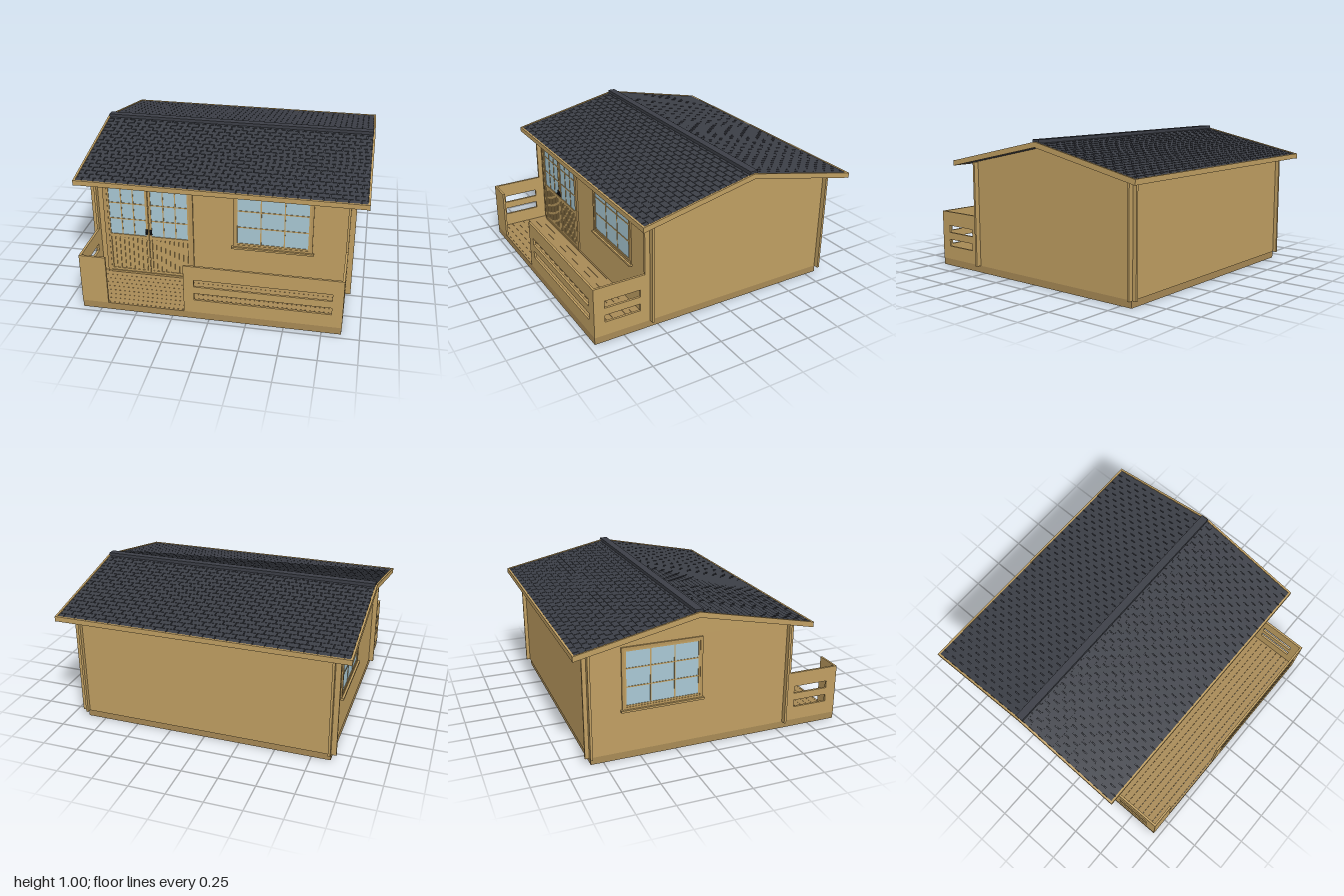
import * as THREE from 'three';
import { mergeGeometries } from 'three/addons/utils/BufferGeometryUtils.js';

const mat = (color) => new THREE.MeshStandardMaterial({ color });
const wood = mat(0xc09f62), baseWood = mat(0xa88a56), trimWood = mat(0xb8975c);
const shingle = mat(0x3c3f47), glass = mat(0xa9c8d4), black = mat(0x1c1c1e);
const RIDGE_Z = -0.143, HALF = 0.812, SLOPE = 0.212;

// Box geometry given by its extents
function slab(x0, x1, y0, y1, z0, z1) {
  return new THREE.BoxGeometry(x1 - x0, y1 - y0, z1 - z0)
    .translate((x0 + x1) / 2, (y0 + y1) / 2, (z0 + z1) / 2);
}
function add(parent, name, material, ...geometries) {
  const mesh = new THREE.Mesh(geometries.length > 1 ? mergeGeometries(geometries) : geometries[0], material);
  mesh.name = name;
  parent.add(mesh);
  return mesh;
}
function group(parent, name) {
  const g = new THREE.Group();
  g.name = name;
  parent.add(g);
  return g;
}
function rectPath(Type, x0, x1, y0, y1) {
  return new Type([[x0, y0], [x1, y0], [x1, y1], [x0, y1]].map(([x, y]) => new THREE.Vector2(x, y)));
}
// Extrude a [z, y] outline along x, with optional rectangular holes
function extrudeX(points, x0, x1, holes = []) {
  const shape = new THREE.Shape(points.map(([z, y]) => new THREE.Vector2(-z, y)));
  holes.forEach(([z0, z1, y0, y1]) => shape.holes.push(rectPath(THREE.Path, -z1, -z0, y0, y1)));
  return new THREE.ExtrudeGeometry(shape, { depth: x1 - x0, bevelEnabled: false })
    .rotateY(Math.PI / 2).translate(x0, 0, 0);
}
// Rectangular ring facing +z
function ring(x0, x1, y0, y1, w, z0, z1) {
  const shape = rectPath(THREE.Shape, x0, x1, y0, y1);
  shape.holes.push(rectPath(THREE.Path, x0 + w, x1 - w, y0 + w, y1 - w));
  return new THREE.ExtrudeGeometry(shape, { depth: z1 - z0, bevelEnabled: false }).translate(0, 0, z0);
}
// Bars that split a pane into three by three
function muntins(x0, x1, y0, y1, z0, z1) {
  const bars = [], h = 0.004;
  for (const t of [1 / 3, 2 / 3]) {
    const x = x0 + (x1 - x0) * t, y = y0 + (y1 - y0) * t;
    bars.push(slab(x - h, x + h, y0, y1, z0, z1), slab(x0, x1, y - h, y + h, z0, z1));
  }
  return bars;
}

// Window facing +z, centred on x, wall surface at z = 0
function makeWindow(parent, name) {
  const g = group(parent, name);
  add(g, 'windowTrim', trimWood, ring(-0.275, 0.275, 0.35, 0.775, 0.018, -0.002, 0.01));
  add(g, 'windowSash', wood, ring(-0.257, 0.257, 0.368, 0.757, 0.012, -0.002, 0.007));
  add(g, 'windowBars', wood, ...muntins(-0.245, 0.245, 0.38, 0.755, 0, 0.006));
  add(g, 'windowGlass', glass, slab(-0.246, 0.246, 0.379, 0.746, -0.002, 0.003));
  add(g, 'windowSill', wood, slab(-0.285, 0.285, 0.338, 0.352, -0.002, 0.024));
  return g;
}

// Double door with glazed tops and slatted lower panels
function makeDoor(parent) {
  const g = group(parent, 'doubleDoor');
  add(g, 'doorTrim', trimWood, slab(-0.83, -0.802, 0.055, 0.772, 0, 0.012),
    slab(-0.218, -0.19, 0.055, 0.772, 0, 0.012), slab(-0.802, -0.218, 0.755, 0.772, 0, 0.012),
    slab(-0.802, -0.218, 0.05, 0.064, 0, 0.016));
  for (const [name, x0, x1, gx0] of [['rightDoor', -0.802, -0.512, -0.79], ['leftDoor', -0.508, -0.218, -0.49]]) {
    const leaf = group(g, name), gx1 = gx0 + 0.26;
    add(leaf, 'doorFrame', wood, slab(x0, gx0, 0.064, 0.755, 0, 0.009), slab(gx1, x1, 0.064, 0.755, 0, 0.009),
      slab(gx0, gx1, 0.735, 0.755, 0, 0.009), slab(gx0, gx1, 0.34, 0.365, 0, 0.009),
      slab(gx0, gx1, 0.064, 0.082, 0, 0.009));
    add(leaf, 'doorGlass', glass, slab(gx0, gx1, 0.365, 0.735, 0, 0.003));
    add(leaf, 'doorBars', wood, ...muntins(gx0, gx1, 0.365, 0.735, 0, 0.006));
    const slats = [];
    for (let i = 0; i < 8; i++) {
      const x = gx0 + 0.26 * (i + 0.5) / 8;
      slats.push(slab(x - 0.0125, x + 0.0125, 0.082, 0.34, 0, 0.006));
    }
    add(leaf, 'doorSlats', wood, ...slats);
  }
  for (const x of [-0.525, -0.495]) {
    add(g, 'doorHandle', black, slab(x - 0.008, x + 0.008, 0.38, 0.42, 0.009, 0.016),
      slab(x - 0.004, x + 0.004, 0.394, 0.404, 0.016, 0.026));
  }
  g.position.z = 0.56;
}

// Rim, joists and deck boards
function makeBase(parent) {
  const g = group(parent, 'base');
  add(g, 'baseRim', baseWood, slab(-0.88, 0.88, 0, 0.05, 0.945, 0.96), slab(-0.88, 0.88, 0, 0.05, -0.835, -0.82),
    slab(-0.88, -0.865, 0, 0.05, -0.82, 0.945), slab(0.865, 0.88, 0, 0.05, -0.82, 0.945),
    slab(-0.865, 0.865, 0, 0.036, 0.535, 0.575));
  const joists = [];
  for (let i = 1; i < 7; i++) {
    const z = -0.82 + 1.355 * i / 7;
    joists.push(slab(-0.865, 0.865, 0.002, 0.036, z - 0.018, z + 0.018));
  }
  for (let i = -2; i <= 2; i++) joists.push(slab(i * 0.293 - 0.016, i * 0.293 + 0.016, 0.002, 0.036, 0.575, 0.945));
  add(g, 'joists', wood, ...joists);
  const boards = [], n = 38, pitch = 1.765 / n;
  for (let i = 0; i < n; i++) {
    const z = -0.82 + i * pitch;
    boards.push(slab(-0.865, 0.865, 0.036, 0.05, z, z + pitch - 0.0015));
  }
  add(g, 'floorBoards', baseWood, ...boards);
}

// Low porch walls with two long slots each
function makePorch(parent) {
  const g = group(parent, 'porchRailing');
  const slots = (a, b) => [[a, b, 0.147, 0.198], [a, b, 0.25, 0.302]];
  for (const s of [-1, 1]) {
    const x0 = s > 0 ? 0.866 : -0.882;
    add(g, 'sideRailing', wood, extrudeX([[0.56, 0.05], [0.96, 0.05], [0.96, 0.405], [0.56, 0.405]],
      x0, x0 + 0.016, slots(0.63, 0.885)));
  }
  const shape = rectPath(THREE.Shape, -0.17, 0.866, 0.05, 0.405);
  slots(-0.1, 0.81).forEach((h) => shape.holes.push(rectPath(THREE.Path, ...h)));
  add(g, 'frontRailing', wood,
    new THREE.ExtrudeGeometry(shape, { depth: 0.015, bevelEnabled: false }).translate(0, 0, 0.945));
  add(g, 'shortFrontRailing', wood, slab(-0.866, -0.7, 0.05, 0.405, 0.945, 0.96));
}

// Gabled roof: decking, staggered shingles, barge boards, fascias and ridge cap
function makeRoof(parent) {
  const g = group(parent, 'roof');
  const band = (top, bottom, half) => [[-half, top - SLOPE * half], [0, top], [half, top - SLOPE * half],
    [half, bottom - SLOPE * half], [0, bottom], [-half, bottom - SLOPE * half]].map(([z, y]) => [z + RIDGE_Z, y]);
  add(g, 'roofDeck', shingle, extrudeX(band(0.966, 0.948, HALF - 0.014), -0.986, 0.986));
  for (const x of [-1, 0.986]) add(g, 'bargeBoard', wood, extrudeX(band(0.981, 0.945, HALF), x, x + 0.014));
  const angle = Math.atan(SLOPE), rows = 20, tabs = 24;
  const length = (HALF - 0.014) / Math.cos(angle), step = length / rows, width = 1.972 / tabs;
  for (const s of [-1, 1]) {
    const pieces = [];
    for (let r = 0; r < rows; r++) {
      const shift = (r % 2) * width / 2;
      for (let t = 0; t <= tabs; t++) {
        const x0 = Math.max(-0.986, -0.986 + t * width - shift + 0.003);
        const x1 = Math.min(0.986, -0.986 + (t + 1) * width - shift - 0.003);
        if (x1 - x0 < 0.005) continue;
        // each tab tilts a little so its lower edge stands proud
        pieces.push(new THREE.BoxGeometry(x1 - x0, 0.006, step * 1.08).rotateX(-0.06)
          .translate((x0 + x1) / 2, 0.005, (r + 0.5) * step));
      }
    }
    const mesh = add(g, s > 0 ? 'frontShingles' : 'backShingles', shingle, mergeGeometries(pieces).rotateX(angle));
    mesh.position.set(0, 0.968, RIDGE_Z);
    if (s < 0) mesh.rotation.y = Math.PI;
    const edge = RIDGE_Z + s * HALF;
    add(g, 'eaveFascia', wood, slab(-1, 1, 0.775, 0.81, Math.min(edge, edge - s * 0.014), Math.max(edge, edge - s * 0.014)));
  }
  add(g, 'ridgeCap', shingle, slab(-0.988, 0.988, 0.972, 0.995, RIDGE_Z - 0.027, RIDGE_Z + 0.027));
}

export function createModel() {
  const model = new THREE.Group();
  model.name = 'gardenCabin';
  makeBase(model);

  // Walls cross and project past each other at the corners
  const walls = group(model, 'walls');
  const top = (z) => 0.947 - SLOPE * Math.abs(z - RIDGE_Z);
  const gable = [[-0.872, 0.05], [0.595, 0.05], [0.595, top(0.595)], [RIDGE_Z, 0.947], [-0.872, top(-0.872)]];
  add(walls, 'leftWall', wood, extrudeX(gable, 0.866, 0.882));
  add(walls, 'rightWall', wood, extrudeX(gable, -0.882, -0.866));
  add(walls, 'frontWall', wood, slab(-0.917, 0.917, 0.05, 0.797, 0.544, 0.56));
  add(walls, 'backWall', wood, slab(-0.917, 0.917, 0.05, 0.797, -0.845, -0.829));

  makeDoor(model);
  makeWindow(model, 'frontWindow').position.set(0.365, 0, 0.56);
  const side = makeWindow(model, 'sideWindow');
  side.position.set(-0.882, 0, -0.345);
  side.rotation.y = -Math.PI / 2;

  makePorch(model);
  makeRoof(model);
  return model;
}
